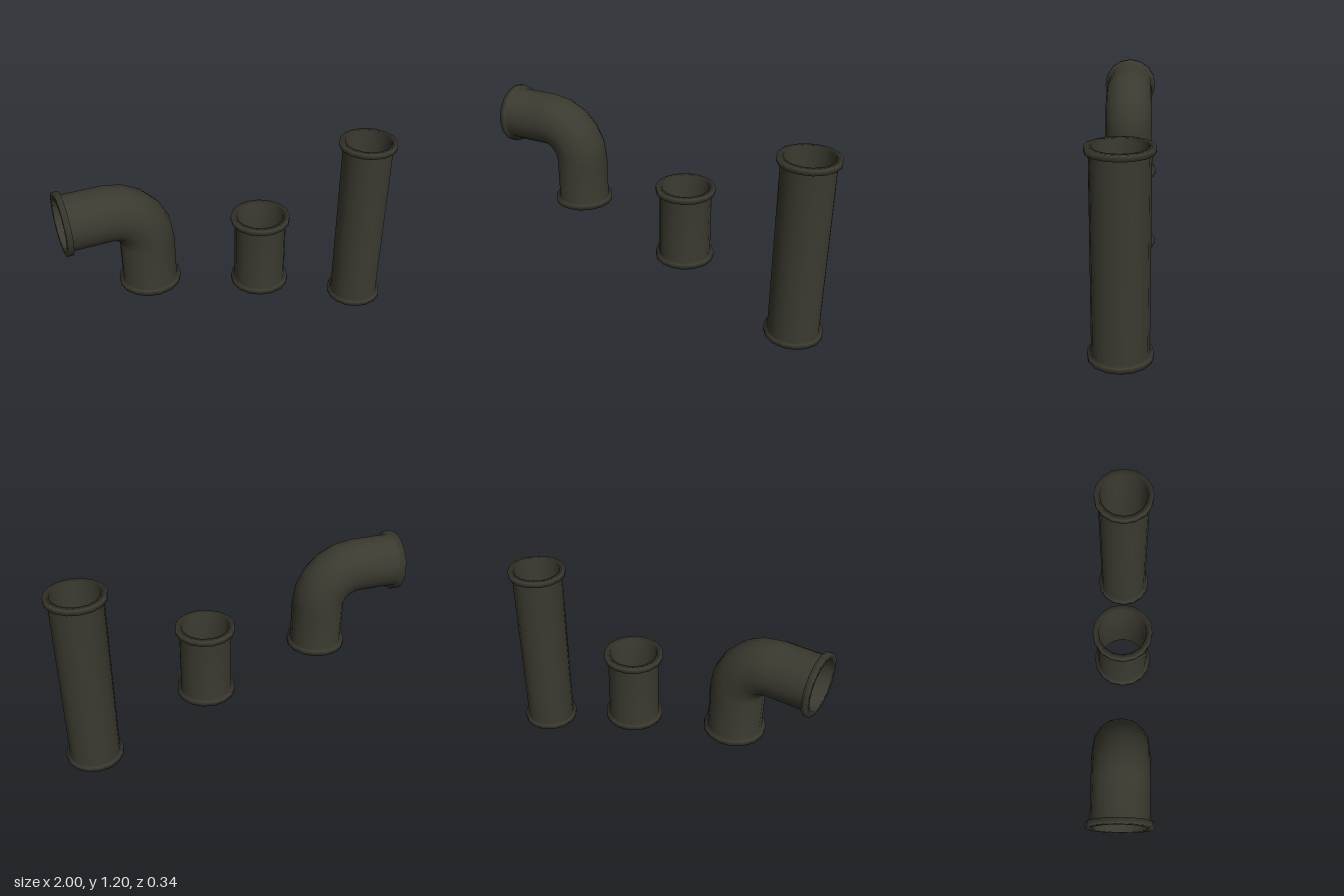
import * as THREE from 'three';

const SIDES = 16, WALL = 0.149, RIM = 0.17, BORE = 0.136, LIP = 0.03;

// Hollow flanged tube along y; stations are extra rings along its length
function tubeGeometry(length, stations = [length / 2]) {
  const inner = stations.map((s) => [BORE, s]);
  const outer = stations.length > 1 ? stations.map((s) => [WALL, s]) : [];
  const profile = [
    ...inner.slice(0, 1), [BORE, 0], [RIM, 0], [RIM, LIP], [WALL, LIP],
    ...outer,
    [WALL, length - LIP], [RIM, length - LIP], [RIM, length], [BORE, length],
    ...inner.reverse(),
  ];
  return new THREE.LatheGeometry(profile.map(([r, y]) => new THREE.Vector2(r, y)), SIDES);
}

// Bend a y-axis tube a quarter turn towards -x, starting at height start
function bend(geometry, start, radius) {
  const pos = geometry.attributes.position, nor = geometry.attributes.normal;
  const arc = radius * Math.PI / 2;
  for (let i = 0; i < pos.count; i++) {
    const s = pos.getY(i) - start;
    const along = THREE.MathUtils.clamp(s, 0, arc);
    const c = Math.cos(along / radius), n = Math.sin(along / radius);
    const r = radius + pos.getX(i), rest = s - along;
    pos.setXY(i, -radius + r * c - rest * n, start + r * n + rest * c);
    const nx = nor.getX(i), ny = nor.getY(i);
    nor.setXY(i, nx * c - ny * n, nx * n + ny * c);
  }
  return geometry;
}

export function createModel() {
  const group = new THREE.Group();
  const iron = new THREE.MeshStandardMaterial({ color: 0x3b3a30 });
  iron.name = 'darkIron';

  const add = (name, geometry, x, y) => {
    const mesh = new THREE.Mesh(geometry, iron);
    mesh.name = name;
    mesh.position.set(x, y, 0);
    group.add(mesh);
  };

  // Straight pipes
  add('longPipe', tubeGeometry(1.105), 0.83, 0);
  add('shortPipe', tubeGeometry(0.45), 0.135, 0.33);

  // Elbow: two straight ends joined by a five-segment quarter bend
  const start = 0.27, radius = 0.21, arc = radius * Math.PI / 2;
  const stations = Array.from({ length: 6 }, (_, i) => start + arc * i / 5);
  add('elbowPipe', bend(tubeGeometry(start + arc + 0.243, stations), start, radius), -0.547, 0.55);

  return group;
}
